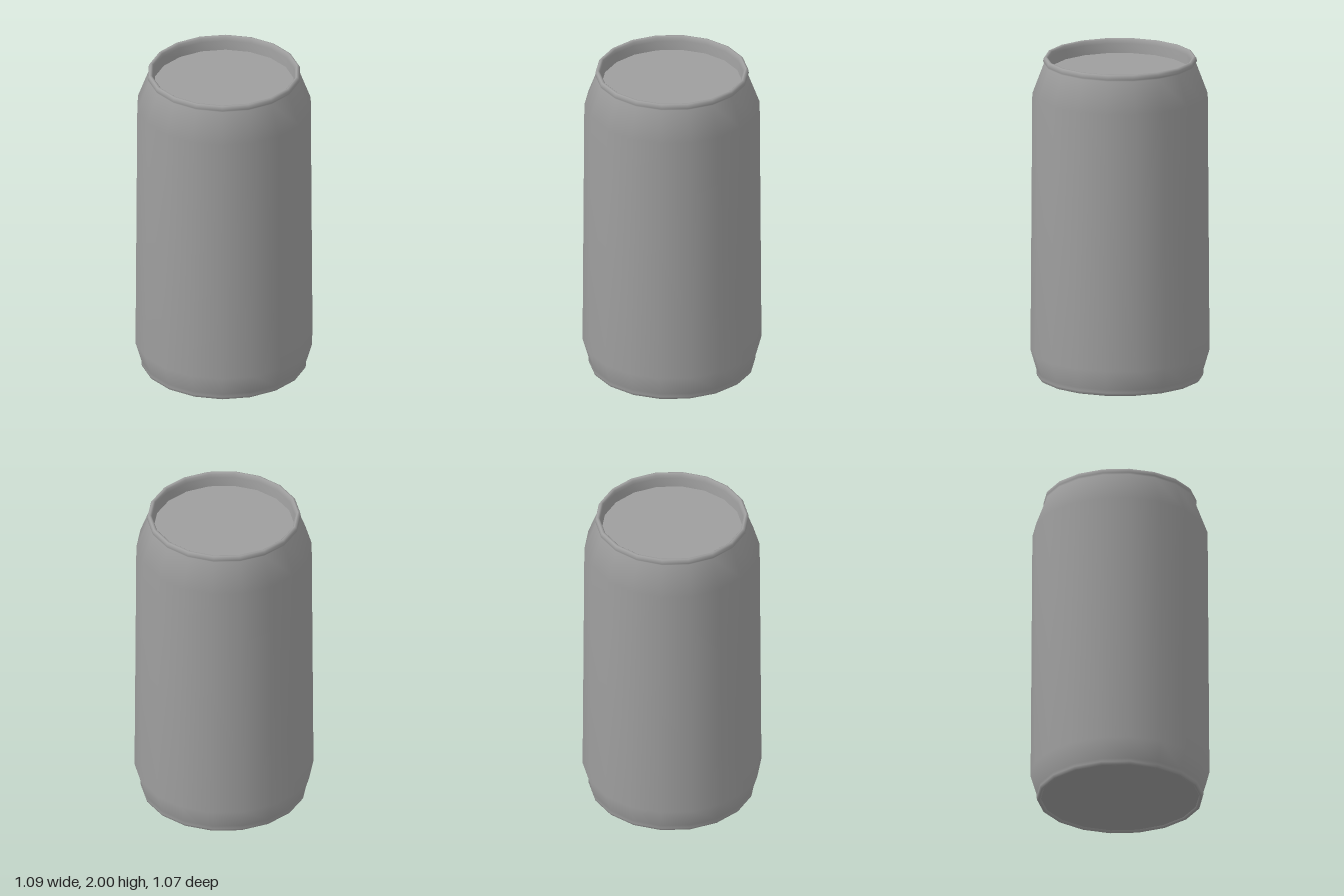
import * as THREE from 'three';
import { mergeVertices } from 'three/addons/utils/BufferGeometryUtils.js';

const SIDES = 18;

export function createModel() {
  const group = new THREE.Group();
  group.name = 'drinkCan';
  const material = new THREE.MeshStandardMaterial({ color: 0x9e9e9e, side: THREE.DoubleSide });

  const add = (name, geometry, y = 0) => {
    const mesh = new THREE.Mesh(geometry, material);
    mesh.name = name;
    mesh.position.y = y;
    group.add(mesh);
  };

  // Wall: rolled foot, slightly tapering side, shoulder, rolled rim and inner lip
  const profile = [
    [0.48, 0.013], [0.486, 0.003], [0.495, 0], [0.503, 0.005], [0.507, 0.02], [0.506, 0.04],
    [0.543, 0.165], [0.532, 1.77],
    [0.461, 1.96], [0.466, 1.97], [0.465, 1.987], [0.458, 1.998], [0.448, 2], [0.438, 1.992],
    [0.434, 1.97], [0.427, 1.912],
  ].map(([r, y]) => new THREE.Vector2(r, y));
  let wall = new THREE.LatheGeometry(profile, SIDES, Math.PI / 2);
  // Weld the seam so the long side keeps level, smooth normals
  wall.deleteAttribute('uv');
  wall.deleteAttribute('normal');
  wall = mergeVertices(wall);
  wall.computeVertexNormals();
  add('canWall', wall);

  // Recessed lid and slightly recessed base
  add('lid', new THREE.CircleGeometry(0.427, SIDES).rotateX(-Math.PI / 2), 1.912);
  add('base', new THREE.CircleGeometry(0.48, SIDES).rotateX(Math.PI / 2), 0.013);

  return group;
}
